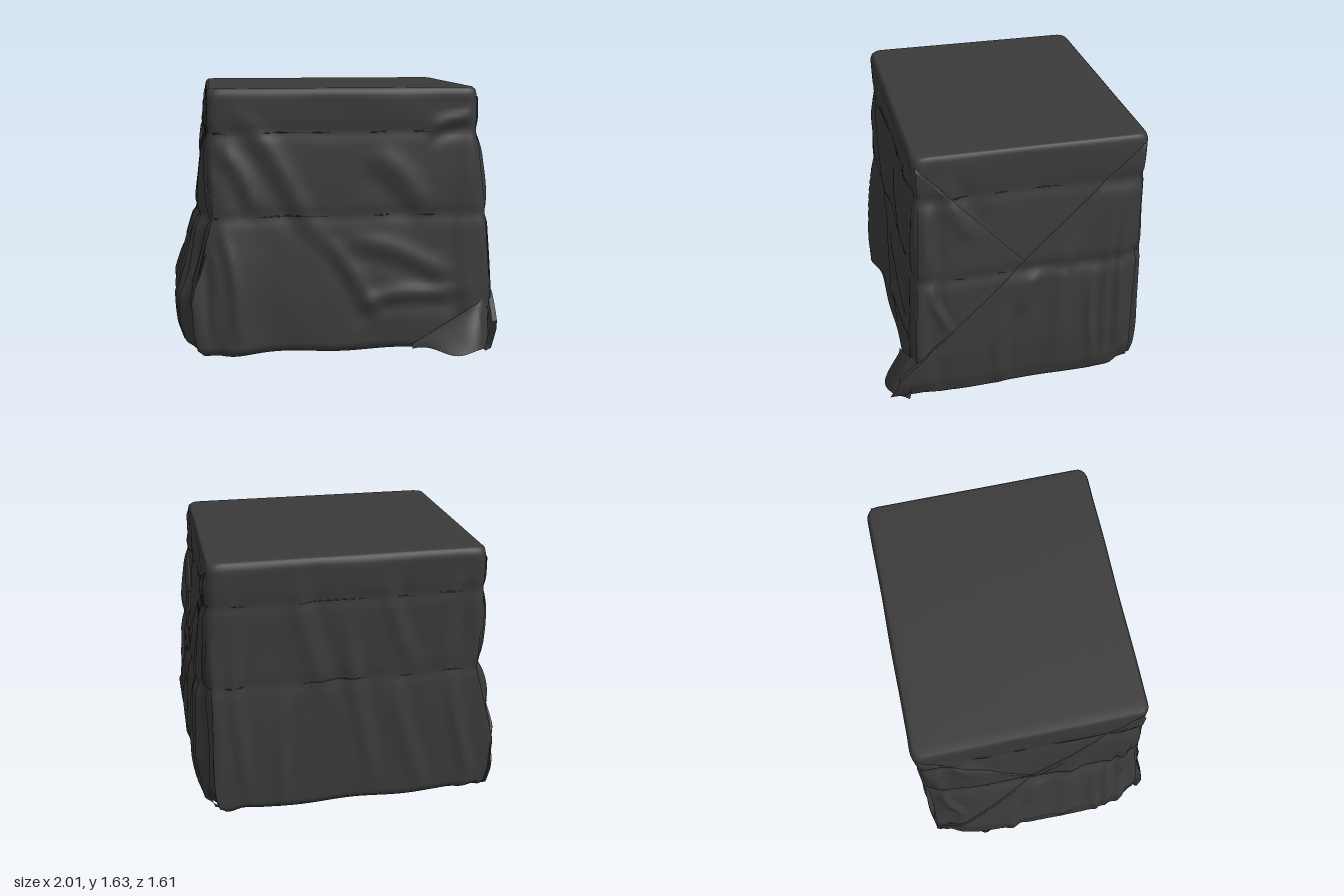
import * as THREE from 'three';

const { clamp, lerp, smoothstep } = THREE.MathUtils;
const bell = (d, w) => Math.exp(-(d * d) / (w * w));
const STRINGS = [1.37, 0.86];
const cinch = (y) => STRINGS.reduce((m, s) => Math.max(m, bell(y - s, 0.04)), 0);

// Cover outline at each height: y, min x, max x, min z, max z
const PROFILE = [
  [0.015, -0.89, 0.88, -0.74, 0.62],
  [0.05, -0.935, 0.92, -0.775, 0.65],
  [0.15, -0.96, 0.945, -0.78, 0.65],
  [0.35, -0.97, 0.955, -0.785, 0.645],
  [0.6, -0.9, 0.945, -0.785, 0.635],
  [0.86, -0.83, 0.93, -0.78, 0.62],
  [1.1, -0.815, 0.905, -0.78, 0.615],
  [1.37, -0.785, 0.875, -0.785, 0.6],
  [1.59, -0.78, 0.865, -0.795, 0.605],
  [1.62, -0.775, 0.86, -0.785, 0.595],
  [1.635, -0.76, 0.845, -0.77, 0.58],
];

// Main cloth folds on each face as lines: start across, start y, end across, end y, width
const FRONT_FOLDS = [
  [-0.6, 1.5, -0.1, 0.75, 0.06], [-0.1, 0.75, 0.3, 0.2, 0.05], [-0.72, 1.3, -0.45, 0.9, 0.05],
  [-0.72, 0.82, -0.56, 0.06, 0.03], [-0.8, 0.8, -0.72, 0.1, 0.03], [0.05, 0.72, 0.75, 0.5, 0.06],
  [0.1, 0.3, 0.8, 0.42, 0.05], [0.55, 1.35, 0.85, 1.5, 0.04], [0.2, 1.25, 0.6, 0.9, 0.08],
];
const BACK_FOLDS = [
  [-0.65, 1.5, -0.5, 0.9, 0.05], [-0.6, 0.85, -0.72, 0.06, 0.04], [-0.25, 0.85, -0.4, 0.06, 0.05],
  [0.05, 1.3, -0.1, 0.1, 0.05], [0.35, 1.55, 0.2, 0.7, 0.06], [0.4, 0.8, 0.5, 0.06, 0.04],
  [0.72, 1.2, 0.7, 0.1, 0.04], [-0.2, 1.5, -0.3, 0.95, 0.05],
];
const SIDE_FOLDS = [
  [0.08, 0.6, 0.14, 0.05, 0.04], [-0.15, 0.85, 0.02, 0.6, 0.05], [-0.47, 0.8, -0.46, 0.08, 0.025],
  [-0.6, 1.2, -0.52, 0.08, 0.025], [-0.68, 1.3, -0.62, 0.08, 0.03], [-0.35, 1.1, -0.2, 0.2, 0.06],
  [0.5, 1.35, 0.56, 0.9, 0.04], [0.52, 0.85, 0.45, 0.5, 0.03], [0.42, 1.5, 0.3, 1.1, 0.06],
];

function outline(y) {
  let i = 0;
  while (i < PROFILE.length - 2 && y > PROFILE[i + 1][0]) i++;
  const a = PROFILE[i], b = PROFILE[i + 1];
  const t = clamp((y - a[0]) / (b[0] - a[0]), 0, 1);
  return a.map((v, k) => lerp(v, b[k], t));
}

function ridge(list, a, y) {
  let sum = 0;
  for (const [a0, y0, a1, y1, w] of list) {
    const da = a1 - a0, dy = y1 - y0, len = Math.hypot(da, dy);
    const t = ((a - a0) * da + (y - y0) * dy) / (len * len);
    const side = ((a - a0) * dy - (y - y0) * da) / len + 0.02 * Math.sin(5 * t);
    const fade = smoothstep(t, -0.1, 0.3) * (1 - smoothstep(t, 0.75, 1.1));
    sum += fade * (bell(side, w) - 0.5 * bell(side - 1.6 * w, w));
  }
  return 0.02 * sum;
}

// Folds plus a soft sag, pleats by the corners and the pull of the cords
function folds(x, y, z, p, q) {
  const low = 1 - smoothstep(y, 0.2, 1.5);
  const onSide = Math.abs(p) > Math.abs(q);
  const lines = onSide ? ridge(SIDE_FOLDS, p > 0 ? z : -z - 0.15, y) : ridge(q > 0 ? FRONT_FOLDS : BACK_FOLDS, x, y);
  const m = Math.min(Math.abs(p), Math.abs(q));
  const soft = Math.sin(8 * x - 7 * z + 3 * y + 2 * Math.sin(3 * y + x));
  const pleat = Math.sin(34 * (x - z) + 3 * Math.sin(2.5 * y)) + Math.sin(21 * (x + z) + 2 * y);
  return lines * (1 - smoothstep(m, 0.9, 0.99)) + 0.004 * soft
    + 0.007 * pleat * smoothstep(m, 0.6, 0.88) * (0.25 + low) - 0.007 * cinch(y);
}

// Point on the draped cover; p, q run along a square from -1 to 1
function surf(p, q, y, off = 0) {
  const R = 0.08, ip = clamp(p, R - 1, 1 - R), iq = clamp(q, R - 1, 1 - R);
  const len = Math.hypot(p - ip, q - iq) || 1;
  const nx = (p - ip) / len, nz = (q - iq) / len;
  const [, x0, x1, z0, z1] = outline(y);
  let x = lerp(x0, x1, (ip + nx * R + 1) / 2);
  let z = lerp(z0, z1, (iq + nz * R + 1) / 2);
  const d = off + folds(x, y, z, p, q) * smoothstep(1.635 - y, -0.01, 0.12);
  // sides narrow towards the corners, except where the left flap is pulled forward
  const taper = nx > 0 && q > 0 ? 0 : (nx > 0 ? 0.08 : 0.11) * q ** 4;
  const low = 1 - smoothstep(y, 0.3, 1);
  x += nx * (d - (1 - smoothstep(y, 0.5, 1.45)) * taper);
  z += nz * (d + (nz > 0 ? 0.045 * low * bell(x + 0.62, 0.13) : 0));
  const sag = 0.006 * (1 - smoothstep(y, 1.2, 1.6));
  return new THREE.Vector3(x, y + sag * Math.sin(9 * x + 7 * z), z);
}

function perimeter(u) {
  const k = Math.floor(u) % 4, t = (u - Math.floor(u)) * 2 - 1;
  return [[t, 1], [1, -t], [-t, -1], [-1, t]][k];
}

// Grid of points fn(i, j) joined into one smooth sheet
function sheet(nu, nv, closed, fn) {
  const pos = [], idx = [], cols = closed ? nu : nu + 1;
  for (let j = 0; j <= nv; j++)
    for (let i = 0; i < cols; i++) pos.push(...fn(i, j).toArray());
  for (let j = 0; j < nv; j++)
    for (let i = 0; i < nu; i++) {
      const a = j * cols + i, b = j * cols + (i + 1) % cols;
      idx.push(a, a + cols, b, b, a + cols, b + cols);
    }
  const g = new THREE.BufferGeometry();
  g.setAttribute('position', new THREE.Float32BufferAttribute(pos, 3));
  g.setIndex(idx);
  g.computeVertexNormals();
  return g;
}

export function createModel() {
  const group = new THREE.Group();
  const cloth = new THREE.MeshStandardMaterial({ color: 0x3a3a3a, side: THREE.DoubleSide });
  const cord = new THREE.MeshStandardMaterial({ color: 0x1c1c1c });
  const add = (name, geometry, material = cloth) => {
    const m = new THREE.Mesh(geometry, material);
    m.name = name;
    group.add(m);
  };

  // Cover: flat top and draped sides
  const rows = [0.001, 0.25, 0.5, 0.75, 0.93].map((s) => [1.635, s]);
  rows.push([1.635, 1], [1.628, 1], [1.62, 1], [1.605, 1]);
  for (let i = 0; i <= 62; i++) rows.push([lerp(1.59, 0.05, i / 62), 1]);
  rows.push([0.03, 1], [0.015, 1]);
  const N = 288;
  add('cover', sheet(N, rows.length - 1, true, (i, j) => {
    const [y, s] = rows[j];
    const v = surf(...perimeter(i * 4 / N), y);
    v.x = lerp(0.03, v.x, s);
    v.z = lerp(-0.08, v.z, s);
    return v;
  }));

  // Wide hem turned in around the open bottom
  add('hem', sheet(N, 5, true, (i, j) => {
    const [p, q] = perimeter(i * 4 / N);
    const v = surf(p, q, 0.015);
    const R = 0.2, ip = clamp(p, R - 1, 1 - R), iq = clamp(q, R - 1, 1 - R);
    const len = Math.hypot(p - ip, q - iq);
    const inner = new THREE.Vector3(0.01 + 0.74 * (ip + R * (p - ip) / len), 0.035, -0.08 + 0.49 * (iq + R * (q - iq) / len));
    return v.lerp(inner, j / 5);
  }));

  // Wrapped side flaps: everything under a slanting folded edge
  function flap(name, side, qa, qb, ya, yb, off) {
    const nu = 70, nv = 60;
    add(name, sheet(nu, nv + 1, false, (i, j) => {
      const t = i / nu, q = lerp(qa, qb, t);
      const top = lerp(ya, yb, t);
      const y = lerp(0.03, top, Math.min(j / nv, 1));
      const lift = j > nv ? -0.012 : off * (1 - 0.75 * cinch(y));
      // a free end past the corner runs straight on
      const over = qb > 1 ? Math.max(q - 0.92, 0) : 0;
      const v = surf(side, side * (q - over), y, lift);
      v.z += over * (0.68 + 0.25 * (1 - smoothstep(y, 0.03, 0.2)));
      return v;
    }));
  }
  flap('leftInnerFlap', 1, 0, 0.97, 0.87, 1.58, 0.008);
  flap('leftOuterFlap', 1, -0.95, 1.14, 1.58, 0.2, 0.02);
  flap('rightInnerFlap', -1, 0, 0.97, 0.87, 1.58, 0.008);
  flap('rightOuterFlap', -1, -0.95, 0.98, 1.58, 0.2, 0.02);

  // Loose corner of the left flap, folded round onto the front
  add('frontCornerFold', sheet(24, 14, false, (i, j) => {
    const t = i / 24, h = j / 14;
    const x = lerp(0.47, 0.95, t);
    const y = lerp(0.02 + 0.015 * Math.sin(9 * t), 0.05 + 0.29 * t, h);
    const flare = 0.15 * bell(x - 0.77, 0.19) * (1 - h) ** 0.8;
    const [, , , , z1] = outline(Math.max(y, 0.06));
    return new THREE.Vector3(x, y, z1 + 0.012 + flare + 0.008 * Math.sin(22 * x + 9 * y) * (1 - h)
      - 0.05 * smoothstep(x, 0.88, 0.95));
  }));

  // Bunched cloth at the back right bottom corner
  for (let k = 0; k < 3; k++) {
    add('backCornerPleat', sheet(10, 24, false, (i, j) => {
      const a = i / 10 * Math.PI, h = j / 24;
      const r = 0.05 * (1 - 0.75 * h) + 0.006 * Math.sin(11 * h + k);
      const y = lerp(0.03, 0.75 - 0.12 * k, h);
      const [, x0] = outline(y);
      return new THREE.Vector3(x0 + 0.11 - 0.04 * k - 1.2 * r * Math.sin(a), y,
        -0.71 + 0.13 * k + 0.05 * h + r * Math.cos(a));
    }));
  }

  // Two thin tie cords, sunk in the cloth and showing only in places
  for (const y of STRINGS) {
    const pts = [];
    for (let i = 0; i < 160; i++)
      pts.push(surf(...perimeter(i / 40), y, -0.005 + 0.004 * Math.sin(i * 0.6 + 2 * Math.sin(i * 0.23))));
    add('tieCord', new THREE.TubeGeometry(new THREE.CatmullRomCurve3(pts, true), 320, 0.005, 6, true), cord);
  }
  return group;
}
